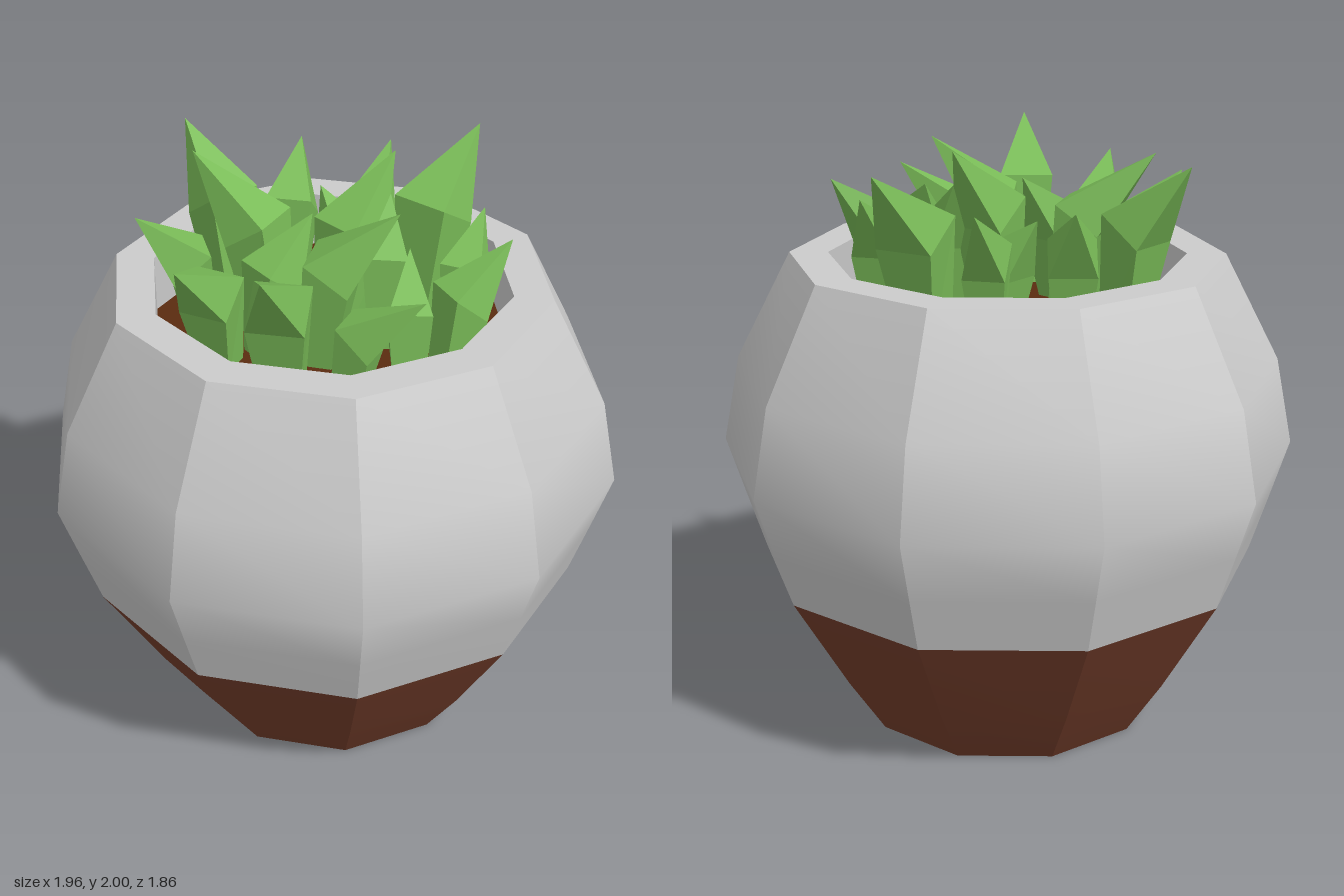
import * as THREE from 'three';
import { mergeGeometries } from 'three/addons/utils/BufferGeometryUtils.js';

const SIDES = 10, STEP = Math.PI * 2 / SIDES, START = Math.PI / 10;
const mat = (color, extra = {}) => new THREE.MeshStandardMaterial({ color, ...extra });

function addMesh(group, name, geometry, material) {
  const mesh = new THREE.Mesh(geometry, material);
  mesh.name = name;
  group.add(mesh);
  return mesh;
}

// Ten separate panels: smooth up the profile, crisp at the vertical edges
function panels(profile) {
  const points = profile.map(([r, y]) => new THREE.Vector2(r, y));
  const strips = [];
  for (let i = 0; i < SIDES; i++) {
    const strip = new THREE.LatheGeometry(points, 1, START + i * STEP, STEP);
    strip.computeVertexNormals();
    strips.push(strip);
  }
  return mergeGeometries(strips);
}

// Pointed four-sided leaf: narrow foot, wide shoulder, tip leaning outwards
function leafGeometry(bx, bz, tx, ty, tz, w) {
  const foot = 1.4, lean = Math.hypot(tx - bx, tz - bz);
  const shoulder = foot + (ty - foot) * 0.62;
  const g = new THREE.CylinderGeometry(1, 1, 2, 4, 2, true, Math.PI / 4);
  const p = g.attributes.position;
  for (let i = 0; i < p.count; i++) {
    const x = p.getX(i), z = p.getZ(i), level = Math.round(p.getY(i));
    if (level > 0) p.setXYZ(i, 0, ty, lean);
    else if (level < 0) p.setXYZ(i, x * w * 0.8, foot, z * w * 0.75);
    else p.setXYZ(i, x * w * 1.3, shoulder - z * 0.07, z * w + lean * 0.18);
  }
  g.rotateY(Math.atan2(tx - bx, tz - bz));
  g.translate(bx, 0, bz);
  g.computeVertexNormals();
  return g;
}

export function createModel() {
  const model = new THREE.Group();
  const brown = mat(0x743e2b), grey = mat(0xcccccc);

  // Pot body
  addMesh(model, 'potLower', panels([[0.52, 0], [0.655, 0.21], [0.855, 0.56]]), brown);
  addMesh(model, 'potBottom', panels([[0, 0], [0.52, 0]]), brown);
  addMesh(model, 'potUpper',
    panels([[0.855, 0.56], [0.915, 0.75], [0.98, 0.96], [0.92, 1.26], [0.73, 1.625]]), grey);
  addMesh(model, 'potRim', panels([[0.73, 1.625], [0.6, 1.625]]), grey);
  addMesh(model, 'potInnerWall', panels([[0.6, 1.625], [0.6, 1.4]]), grey);

  // Soil
  const soil = new THREE.CircleGeometry(0.6, SIDES).rotateX(-Math.PI / 2).translate(0, 1.43, 0);
  addMesh(model, 'soil', soil, mat(0x5a2c10));

  // Leaves: base x, base z, tip x, tip y, tip z, half width
  const leaves = [
    [-0.38, -0.18, -0.575, 1.98, -0.34, 0.1],
    [-0.21, -0.31, -0.215, 1.87, -0.52, 0.085],
    [0.05, -0.36, 0.09, 1.87, -0.56, 0.075],
    [0.26, -0.24, 0.4, 1.98, -0.51, 0.11],
    [0.02, -0.2, -0.1, 1.8, -0.3, 0.08],
    [-0.2, -0.02, -0.48, 1.98, -0.1, 0.1],
    [0.03, 0, 0.17, 2, -0.2, 0.1],
    [0.19, 0.05, 0.17, 1.88, -0.13, 0.08],
    [0.43, 0.01, 0.47, 1.84, -0.18, 0.075],
    [0.42, 0.2, 0.59, 1.86, 0.06, 0.08],
    [0, 0.19, 0.26, 1.98, 0.2, 0.1],
    [-0.41, 0.1, -0.59, 1.87, 0.19, 0.085],
    [-0.18, 0.19, -0.05, 1.87, 0.04, 0.085],
    [-0.3, 0.27, -0.36, 1.88, 0.53, 0.09],
    [-0.06, 0.41, -0.05, 1.98, 0.71, 0.1],
    [0.14, 0.42, 0.39, 1.84, 0.475, 0.075],
    [0.32, 0.33, 0.28, 1.83, 0.13, 0.075],
  ];
  const green = mat(0x7abc58, { flatShading: true });
  const plant = new THREE.Group();
  plant.name = 'plant';
  for (const leaf of leaves) addMesh(plant, 'leaf', leafGeometry(...leaf), green);
  model.add(plant);
  return model;
}
